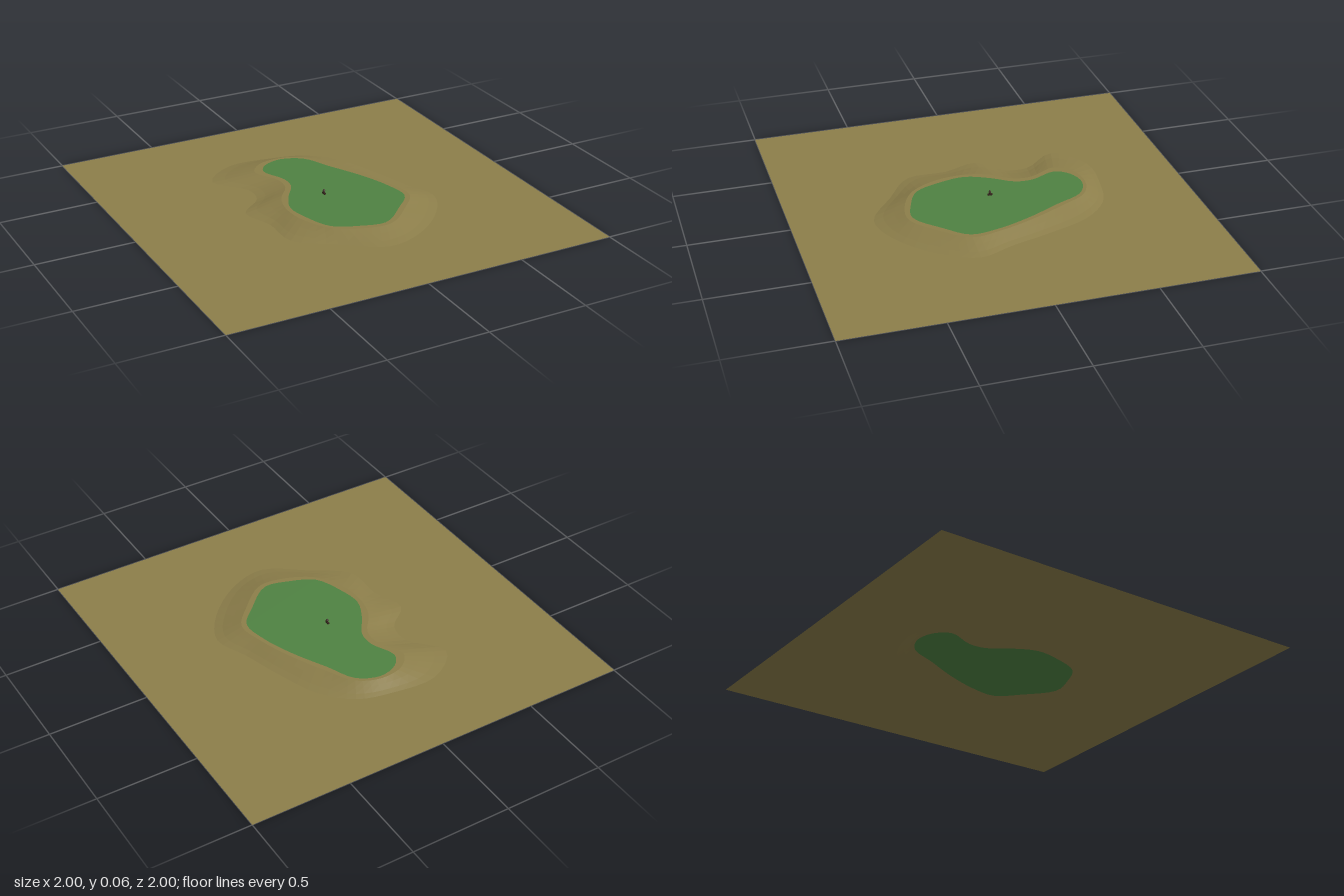
import * as THREE from 'three';

const TOP = 0.033;
const STEPS = 4; // samples between neighbouring outline points

// Matching [x, z] points round the green and round the foot of the mound
const greenEdge = [
  [0, -0.48], [0.11, -0.43], [0.18, -0.29], [0.27, -0.11], [0.33, 0.06], [0.345, 0.2],
  [0.25, 0.31], [0.11, 0.425], [-0.02, 0.4], [-0.14, 0.34], [-0.2, 0.2], [-0.22, 0.07],
  [-0.17, -0.05], [-0.1, -0.16], [-0.095, -0.25], [-0.145, -0.38], [-0.1, -0.45],
];
const moundFoot = [
  [0, -0.58], [0.17, -0.53], [0.3, -0.4], [0.39, -0.17], [0.45, 0.03], [0.51, 0.2],
  [0.42, 0.38], [0.22, 0.55], [0.03, 0.6], [-0.17, 0.47], [-0.35, 0.33], [-0.36, 0.13],
  [-0.41, -0.04], [-0.29, -0.16], [-0.28, -0.28], [-0.4, -0.45], [-0.24, -0.59],
];

function smoothLoop(points) {
  const curve = new THREE.CatmullRomCurve3(points.map(([x, z]) => new THREE.Vector3(x, 0, z)), true);
  const n = points.length * STEPS;
  return Array.from({ length: n }, (_, i) => curve.getPoint(i / n));
}

// Flat shapes are drawn in x, -z and laid down
const flatten = (loop) => loop.map((p) => new THREE.Vector2(p.x, -p.z));
function lay(shape, y) {
  return new THREE.ShapeGeometry(shape).rotateX(-Math.PI / 2).translate(0, y, 0);
}

// Faceted slope lofted from the green edge out to the foot
function slopeGeometry(inner, outer) {
  const rings = [[0, TOP], [0.17, TOP], [0.45, 0.021], [0.75, 0.008], [1, 0]];
  const n = inner.length;
  const positions = [];
  const index = [];
  rings.forEach(([t, y], r) => {
    for (let i = 0; i < n; i++) {
      const p = inner[i].clone().lerp(outer[i], t);
      positions.push(p.x, y, p.z);
      if (r === rings.length - 1) continue;
      const a = r * n + i;
      const b = r * n + (i + 1) % n;
      index.push(a, b, b + n, a, b + n, a + n);
    }
  });
  const indexed = new THREE.BufferGeometry();
  indexed.setAttribute('position', new THREE.Float32BufferAttribute(positions, 3));
  indexed.setIndex(index);
  const geometry = indexed.toNonIndexed();
  geometry.computeVertexNormals();
  return geometry;
}

export function createModel() {
  const group = new THREE.Group();
  const material = (name, color) => {
    const m = new THREE.MeshStandardMaterial({ color, side: THREE.DoubleSide });
    m.name = name;
    return m;
  };
  const earth = material('dry grass', 0x8c7e4a);
  const grass = material('green grass', 0x4f8242);
  const wood = material('dark brown', 0x3a2a20);
  const add = (name, geometry, mat, parent = group) => {
    const mesh = new THREE.Mesh(geometry, mat);
    mesh.name = name;
    parent.add(mesh);
    return mesh;
  };

  const inner = smoothLoop(greenEdge);
  const outer = smoothLoop(moundFoot);

  // Level ground with an opening for the mound
  const ground = new THREE.Shape([[-1, -1], [1, -1], [1, 1], [-1, 1]].map(([x, y]) => new THREE.Vector2(x, y)));
  ground.holes.push(new THREE.Path(flatten(outer)));
  add('ground', lay(ground, 0), earth);

  // Mound sides and flat green top
  add('moundSlope', slopeGeometry(inner, outer), earth);
  add('green', lay(new THREE.Shape(flatten(inner)), TOP), grass);

  // Tiny marker figure in the middle
  const figure = new THREE.Group();
  figure.name = 'centreFigure';
  figure.position.y = TOP;
  group.add(figure);
  add('figureBase', new THREE.BoxGeometry(0.009, 0.009, 0.024), wood, figure).position.set(0, 0.0045, 0.002);
  add('figureBody', new THREE.CylinderGeometry(0.006, 0.004, 0.012, 6), wood, figure).position.set(0, 0.013, 0.003);
  add('figureHead', new THREE.ConeGeometry(0.008, 0.012, 6), wood, figure).position.set(0, 0.023, 0.003);

  return group;
}
